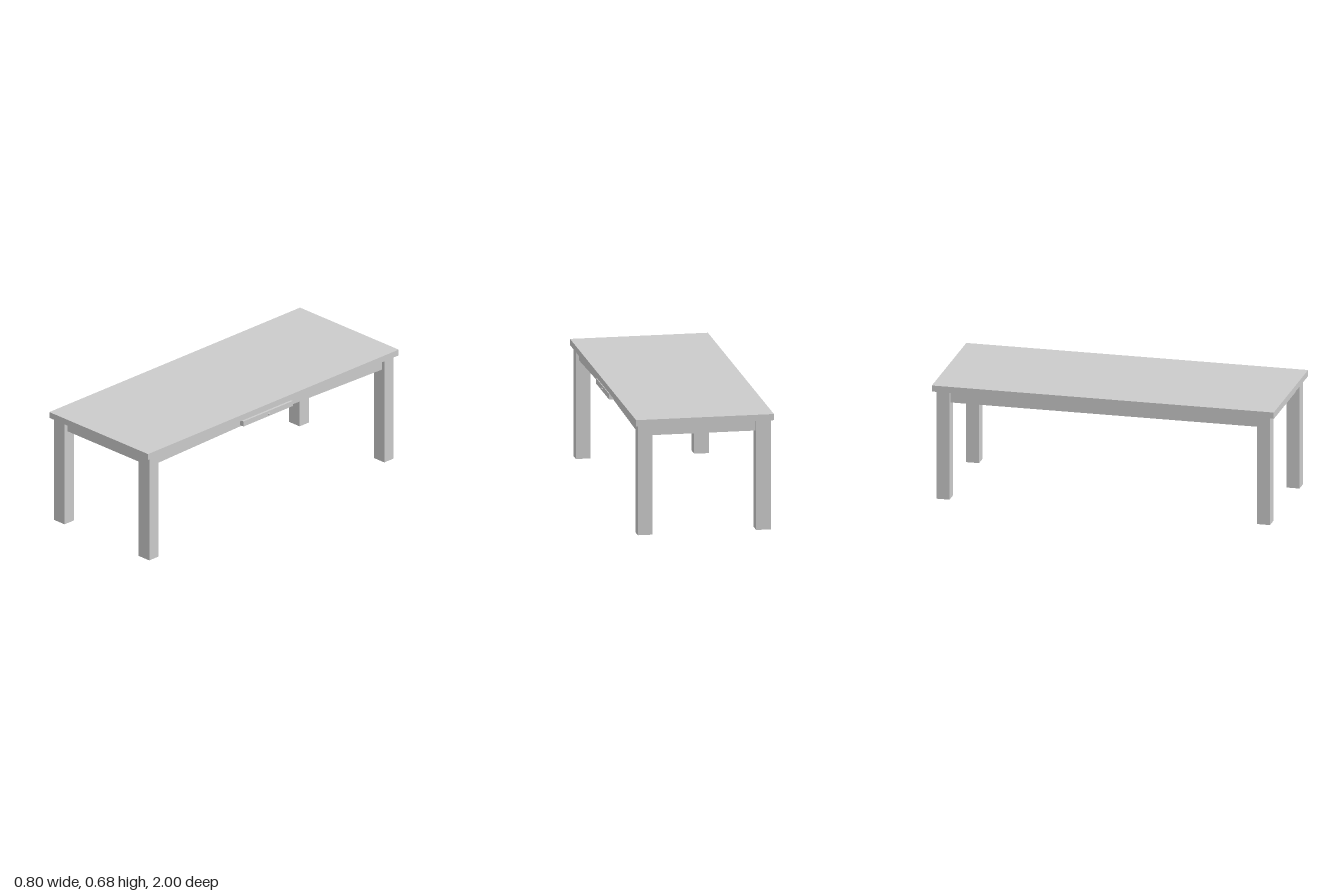
import * as THREE from 'three';

const CX = -0.003; // table centre; the knob overhangs on +x

export function createModel() {
  const group = new THREE.Group();
  const mat = new THREE.MeshStandardMaterial({ color: 0xcccccc, flatShading: true });

  const add = (name, geo) => {
    const mesh = new THREE.Mesh(geo, mat);
    mesh.name = name;
    group.add(mesh);
    return mesh;
  };
  // Box given by its limits on each axis
  const box = (name, x0, x1, y0, y1, z0, z1) => {
    const mesh = add(name, new THREE.BoxGeometry(x1 - x0, y1 - y0, z1 - z0));
    mesh.position.set((x0 + x1) / 2, (y0 + y1) / 2, (z0 + z1) / 2);
    return mesh;
  };

  box('tableTop', -0.4, 0.396, 0.642, 0.678, -1, 1);

  // Four square legs
  for (const sx of [-1, 1]) for (const sz of [-1, 1]) {
    const leg = box('leg', -0.0425, 0.0425, 0, 0.642, -0.0375, 0.0375);
    leg.position.x = CX + sx * 0.3415;
    leg.position.z = sz * 0.9375;
  }

  // Aprons set back from the outer leg faces
  for (const s of [-1, 1]) {
    const end = box('endApron', CX - 0.3, CX + 0.3, 0.575, 0.642, -0.0125, 0.0125);
    end.position.z = s * 0.94;
  }
  box('sideApron', -0.369, -0.344, 0.575, 0.642, -0.9, 0.9);

  // Drawer side apron: outer lower edge is bevelled towards the middle
  const apron = new THREE.BoxGeometry(0.025, 0.067, 1.8, 1, 1, 12);
  const p = apron.attributes.position;
  for (let i = 0; i < p.count; i++) {
    if (p.getX(i) > 0 && p.getY(i) < 0) {
      p.setY(i, p.getY(i) + 0.02 * (1 - Math.abs(p.getZ(i)) / 0.9));
    }
  }
  apron.computeVertexNormals();
  add('drawerSideApron', apron).position.set(0.3505, 0.6085, 0);

  // Shallow drawer front with a small round knob
  box('drawerFront', 0.35, 0.391, 0.598, 0.63, -0.16, 0.233);
  const stem = add('knobStem', new THREE.CylinderGeometry(0.003, 0.003, 0.006, 12));
  stem.rotation.z = Math.PI / 2;
  stem.position.set(0.393, 0.615, 0.036);
  const knob = add('knob', new THREE.SphereGeometry(0.007, 14, 10));
  knob.scale.x = 0.6;
  knob.position.set(0.396, 0.615, 0.036);

  return group;
}
